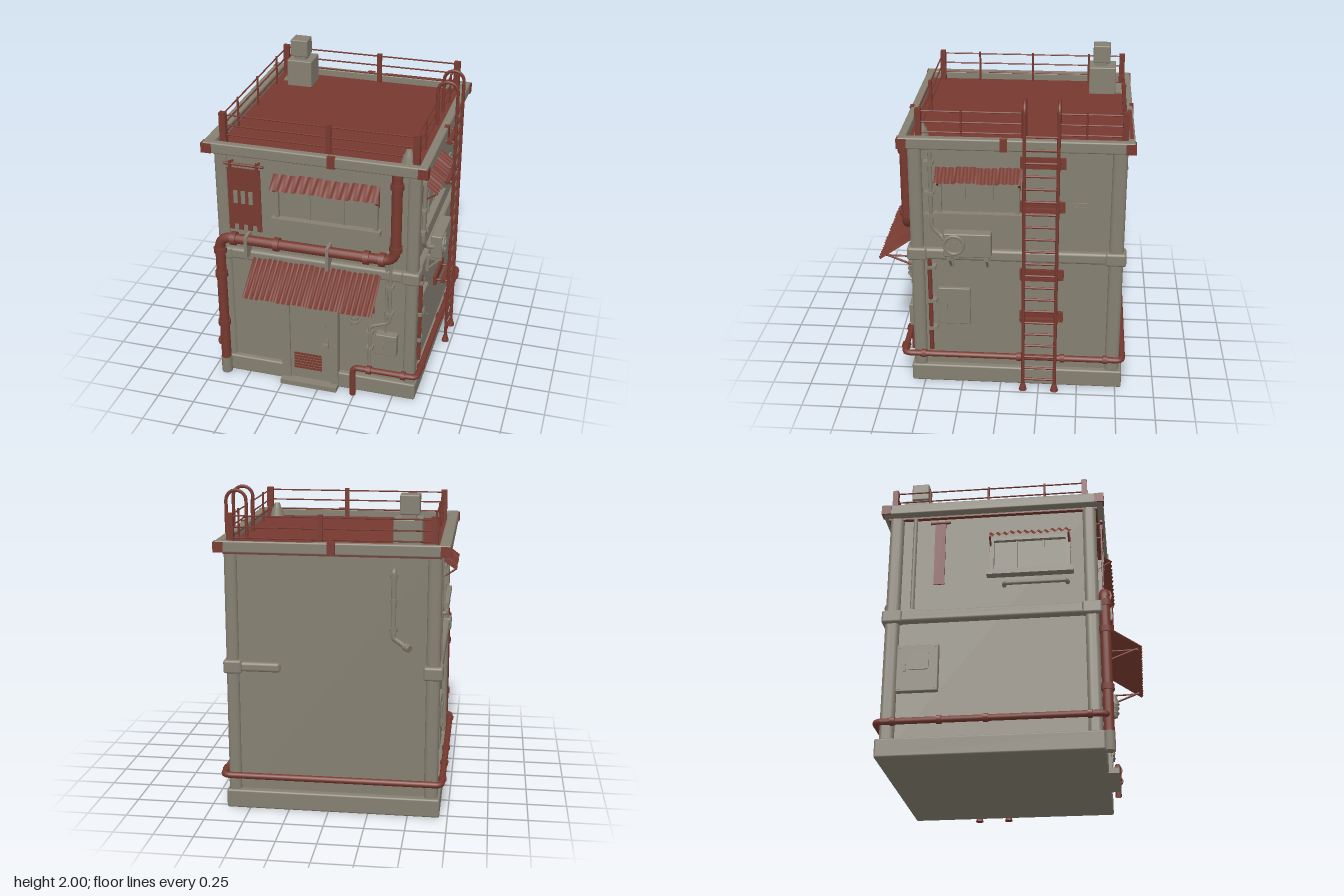
import * as THREE from 'three';
import { RoundedBoxGeometry } from 'three/addons/geometries/RoundedBoxGeometry.js';

const mat = (name, color, side = THREE.FrontSide) => {
  const m = new THREE.MeshStandardMaterial({ color, side });
  m.name = name;
  return m;
};

export function createModel() {
  const grey = mat('weathered concrete', 0x857f71);
  const red = mat('rust red paint', 0x77392f, THREE.DoubleSide);
  const root = new THREE.Group();
  root.name = 'building';
  let target = root;

  const V = (p) => new THREE.Vector3(...p);
  const add = (name, geo, m) => {
    const mesh = new THREE.Mesh(geo, m);
    mesh.name = name;
    target.add(mesh);
    return mesh;
  };
  // Box given by its extents; r rounds the edges
  const box = (name, m, x0, x1, y0, y1, z0, z1, r = 0) => {
    const s = [x1 - x0, y1 - y0, z1 - z0];
    const geo = r ? new RoundedBoxGeometry(...s, 2, r) : new THREE.BoxGeometry(...s);
    const mesh = add(name, geo, m);
    mesh.position.set((x0 + x1) / 2, (y0 + y1) / 2, (z0 + z1) / 2);
    return mesh;
  };
  // Cylinder or cone between two points
  const rod = (name, m, a, b, r, r2 = r, sides = 10) => {
    const d = V(b).sub(V(a));
    const mesh = add(name, new THREE.CylinderGeometry(r2, r, d.length(), sides), m);
    mesh.position.copy(V(a)).addScaledVector(d, 0.5);
    mesh.quaternion.setFromUnitVectors(new THREE.Vector3(0, 1, 0), d.normalize());
    return mesh;
  };
  // Pipe through corner points with rounded bends
  const pipe = (name, m, pts, r, bend, sides = 10) => {
    const path = new THREE.CurvePath();
    const p = pts.map(V);
    let from = p[0];
    for (let i = 1; i < p.length - 1; i++) {
      const a = p[i].clone().add(p[i - 1].clone().sub(p[i]).setLength(bend));
      const b = p[i].clone().add(p[i + 1].clone().sub(p[i]).setLength(bend));
      path.add(new THREE.LineCurve3(from, a));
      path.add(new THREE.QuadraticBezierCurve3(a, p[i], b));
      from = b;
    }
    path.add(new THREE.LineCurve3(from, p[p.length - 1]));
    return add(name, new THREE.TubeGeometry(path, 40 * (p.length - 1), r, sides), m);
  };
  // Corrugated sheet sloping from the wall outwards
  const sheet = (name, u0, u1, yTop, dTop, yLow, dLow, ribs) => {
    const geo = new THREE.PlaneGeometry(u1 - u0, 1, ribs * 4, 1);
    const pos = geo.attributes.position;
    for (let i = 0; i < pos.count; i++) {
      const t = 0.5 - pos.getY(i);
      const wave = 0.006 * Math.sin((i % (ribs * 4 + 1)) * Math.PI / 2);
      const step = Math.floor((i % (ribs * 4 + 1)) / 12) % 2 ? 0.006 : 0;
      pos.setXYZ(i, pos.getX(i) + (u0 + u1) / 2,
        yTop + (yLow - yTop) * t + wave + step, dTop + (dLow - dTop) * t + wave);
    }
    geo.computeVertexNormals();
    return add(name, geo, red);
  };
  // Group whose local z points out of a wall
  const wallGroup = (name, x, z, turn) => {
    const g = new THREE.Group();
    g.name = name;
    g.position.set(x, 0, z);
    g.rotation.y = turn;
    root.add(g);
    target = g;
  };
  const windowUnit = (u0, u1, y0, y1) => {
    box('windowPane', grey, u0, u1, y0, y1, 0, 0.008);
    box('windowJamb', grey, u0, u0 + 0.025, y0, y1, 0, 0.035);
    box('windowJamb', grey, u1 - 0.025, u1, y0, y1, 0, 0.035);
    box('windowHead', grey, u0, u1, y1 - 0.025, y1, 0, 0.035);
    box('windowSill', grey, u0 - 0.02, u1 + 0.02, y0 - 0.02, y0 + 0.015, 0, 0.055);
    for (const f of [1, 2]) {
      const u = u0 + (u1 - u0) * f / 3;
      box('windowBar', grey, u - 0.006, u + 0.006, y0, y1, 0, 0.018);
    }
    sheet('windowAwning', u0 - 0.01, u1 + 0.01, y1 + 0.05, 0.005, y1 - 0.02, 0.1, 12);
    for (const u of [u0 + 0.005, u1 - 0.005]) {
      rod('awningArm', red, [u, y1 - 0.02, 0.09], [u, y1 - 0.08, 0], 0.006);
      box('awningPlate', red, u - 0.01, u + 0.01, y1 - 0.09, y1 + 0.03, 0, 0.012);
    }
  };
  const panel = (name, u0, u1, y0, y1, depth) => {
    box(name, grey, u0, u1, y0, y1, 0, depth, 0.006);
    box(name + 'Handle', grey, u0 + 0.045, u0 + 0.06, (y0 + y1) / 2 - 0.025, (y0 + y1) / 2 + 0.025, depth, depth + 0.01);
    for (const u of [u0 + 0.018, u1 - 0.018]) for (const y of [y0 + 0.018, y1 - 0.018])
      rod('panelBolt', grey, [u, y, depth], [u, y, depth + 0.005], 0.006, 0.006, 6);
  };

  // Main body, plinth and corner pillars
  box('walls', grey, -0.65, 0.61, 0.02, 1.66, -0.745, 0.55);
  box('plinth', grey, -0.7, 0.65, 0, 0.12, -0.79, 0.585, 0.012);
  for (const [x0, x1] of [[-0.685, -0.6], [0.56, 0.64]])
    for (const [z0, z1] of [[-0.77, -0.68], [0.485, 0.57]]) {
      box('cornerPillar', grey, x0, x1, 0.1, 1.67, z0, z1, 0.025);
      box('bandCorner', grey, x0 - 0.02, x1 + 0.015, 0.887, 0.973, z0 - 0.018, z1 + 0.022, 0.015);
    }
  box('frontBand', grey, -0.69, 0.645, 0.892, 0.968, 0.5, 0.585, 0.018);
  box('rightBand', grey, 0.58, 0.645, 0.892, 0.968, -0.78, 0.58, 0.018);
  box('leftBand', grey, -0.695, -0.6, 0.892, 0.968, -0.78, 0.58, 0.018);
  box('backBandStub', grey, 0.3, 0.64, 0.9, 0.96, -0.775, -0.7, 0.018);

  // Roof with raised rim
  box('roofDeck', red, -0.68, 0.64, 1.64, 1.675, -0.78, 0.58);
  box('frontRim', grey, -0.735, 0.685, 1.652, 1.725, 0.57, 0.62, 0.01);
  box('backRim', grey, -0.735, 0.685, 1.652, 1.725, -0.81, -0.765, 0.01);
  box('leftRim', grey, -0.735, -0.665, 1.652, 1.725, -0.81, 0.62, 0.01);
  box('rightRim', grey, 0.63, 0.685, 1.652, 1.725, -0.81, 0.62, 0.01);
  box('rimRustPatch', red, 0.08, 0.6, 1.722, 1.728, -0.8, -0.775);
  for (const [x0, x1] of [[-0.742, -0.675], [0.63, 0.692]])
    for (const [z0, z1] of [[-0.816, -0.755], [0.565, 0.626]])
      box('rimCorner', red, x0, x1, 1.655, 1.718, z0, z1);
  box('rimClamp', red, 0.07, 0.12, 1.65, 1.728, 0.6, 0.626);
  box('rimClamp', red, -0.05, 0, 1.65, 1.728, -0.816, -0.79);
  box('rimClamp', red, 0.66, 0.69, 1.65, 1.728, -0.045, 0);

  // Railing
  const [rx0, rx1, rz0, rz1] = [-0.635, 0.595, -0.75, 0.5];
  for (const x of [rx0, rx1]) for (const z of [rz0, rz1])
    box('railCornerPost', red, x - 0.021, x + 0.021, 1.67, 1.885, z - 0.018, z + 0.018);
  for (const z of [rz0, rz1]) box('railPost', red, 0.03, 0.062, 1.67, 1.885, z - 0.01, z + 0.01);
  for (const z of [-0.52, -0.13, 0.24])
    for (const x of [rx0, rx1]) rod('railPost', red, [x, 1.67, z], [x, 1.88, z], 0.007);
  for (const y of [1.735, 1.8, 1.868]) {
    for (const z of [rz0, rz1]) rod('rail', red, [rx0, y, z], [rx1, y, z], 0.005, 0.005, 6);
    rod('rail', red, [rx0, y, rz0], [rx0, y, rz1], 0.005, 0.005, 6);
    rod('rail', red, [rx1, y, rz0], [rx1, y, -0.36], 0.005, 0.005, 6);
    rod('rail', red, [rx1, y, -0.15], [rx1, y, rz1], 0.005, 0.005, 6);
  }

  // Chimney and roof vent
  box('chimneyPad', grey, -0.61, -0.4, 1.67, 1.685, -0.77, -0.6);
  box('chimneyBase', grey, -0.56, -0.385, 1.67, 1.86, -0.705, -0.525, 0.008);
  box('chimneyNeck', grey, -0.52, -0.43, 1.85, 1.89, -0.65, -0.56);
  box('chimneyTop', grey, -0.54, -0.42, 1.88, 2, -0.665, -0.55, 0.008);
  rod('ventCone', grey, [0.545, 1.67, 0.49], [0.545, 1.74, 0.49], 0.052, 0.035, 16);
  rod('ventCap', grey, [0.545, 1.74, 0.49], [0.545, 1.775, 0.49], 0.03, 0.018, 16);

  // Ladder with hooped handrails
  for (const z of [-0.15, -0.355]) {
    rod('ladderStile', red, [0.712, 0, z], [0.712, 1.905, z], 0.011);
    const hoop = add('ladderHoop', new THREE.TorusGeometry(0.065, 0.011, 8, 16, Math.PI), red);
    hoop.position.set(0.647, 1.905, z);
    rod('ladderHandrail', red, [0.582, 1.67, z], [0.582, 1.905, z], 0.011);
    rod('ladderFoot', red, [0.712, 0, z], [0.712, 0.05, z], 0.027, 0.013);
    for (const y of [0.5, 0.8, 1.27, 1.56]) rod('ladderTie', red, [0.61, y, z], [0.712, y, z], 0.009);
  }
  for (let i = 0; i < 21; i++) {
    const y = 0.08 + i * 0.084;
    rod('ladderRung', red, [0.712, y, -0.355], [0.712, y, -0.15], 0.008, 0.008, 8);
  }
  for (const y of [0.5, 0.8, 1.27, 1.56]) {
    box('ladderBracket', red, 0.61, 0.63, y - 0.035, y + 0.035, -0.4, -0.12);
    box('ladderCrossbar', red, 0.66, 0.69, y - 0.012, y + 0.012, -0.37, -0.13);
  }

  // Large front pipe with collars
  pipe('mainPipe', red, [[-0.66, 0.1, 0.605], [-0.66, 1.06, 0.605], [0.505, 1.06, 0.605], [0.505, 1.66, 0.605]], 0.033, 0.085, 14);
  for (const y of [0.4, 0.78, 0.96]) rod('pipeCollar', red, [-0.66, y - 0.02, 0.605], [-0.66, y + 0.02, 0.605], 0.042);
  for (const x of [-0.56, -0.27, 0.32, 0.42]) rod('pipeCollar', red, [x - 0.018, 1.06, 0.605], [x + 0.018, 1.06, 0.605], 0.046);
  for (const y of [1.15, 1.58]) rod('pipeCollar', red, [0.505, y - 0.018, 0.605], [0.505, y + 0.018, 0.605], 0.042);
  rod('pipeBase', grey, [-0.66, 0, 0.605], [-0.66, 0.12, 0.605], 0.036);
  for (const x of [-0.47, 0.07]) box('pipeStrap', grey, x - 0.01, x + 0.01, 0.94, 1.1, 0.55, 0.645);

  // Thin pipe around the foot of the building
  pipe('footPipe', red, [[0.24, 0, 0.63], [0.24, 0.22, 0.63], [0.67, 0.22, 0.63], [0.67, 0.22, -0.79],
    [-0.71, 0.22, -0.79], [-0.71, 0.22, 0.6], [-0.66, 0.22, 0.6]], 0.02, 0.04, 10);
  for (const x of [0.35, 0.58]) rod('footPipeCollar', red, [x - 0.015, 0.22, 0.63], [x + 0.015, 0.22, 0.63], 0.03);
  for (const z of [0.5, -0.12, -0.4, -0.68]) for (const x of [0.67, -0.71])
    rod('footPipeCollar', red, [x, 0.22, z - 0.015], [x, 0.22, z + 0.015], 0.027);

  // Front wall: window, door, lower awning, banner, lamp, fuse box
  wallGroup('frontDetails', 0, 0.55, 0);
  windowUnit(-0.285, 0.38, 1.23, 1.485);
  box('doorStep', grey, -0.26, 0.13, 0, 0.035, 0, 0.1);
  box('doorFrame', grey, -0.26, -0.2, 0.03, 0.715, 0, 0.055);
  box('doorFrame', grey, 0.075, 0.13, 0.03, 0.715, 0, 0.055);
  box('doorFrame', grey, -0.2, 0.075, 0.675, 0.715, 0, 0.055);
  box('door', grey, -0.2, 0.075, 0.03, 0.675, 0, 0.04);
  box('doorPlate', grey, -0.165, 0.045, 0.465, 0.615, 0.04, 0.048);
  box('doorHandle', grey, 0.03, 0.065, 0.33, 0.345, 0.04, 0.065);
  box('doorLock', grey, 0.045, 0.065, 0.3, 0.38, 0.04, 0.05);
  for (let i = 0; i < 6; i++) box('doorVentSlat', red, -0.175, 0.015, 0.115 + i * 0.022, 0.128 + i * 0.022, 0.04, 0.048);
  for (let i = 0; i < 9; i++) for (const x of [-0.23, 0.103])
    rod('frameRivet', grey, [x, 0.08 + i * 0.072, 0.055], [x, 0.08 + i * 0.072, 0.06], 0.006, 0.006, 6);
  sheet('doorAwning', -0.44, 0.41, 0.925, 0.035, 0.76, 0.27, 24);
  for (const x of [-0.385, 0.345]) {
    box('awningMount', x < 0 ? grey : red, x - 0.018, x + 0.018, 0.62, 0.77, 0, 0.012);
    rod('awningStrut', red, [x, 0.68, 0.01], [x, 0.775, 0.25], 0.007);
    rod('awningStrut', red, [x, 0.76, 0.01], [x, 0.765, 0.25], 0.006);
  }
  const cloth = new THREE.Shape();
  cloth.moveTo(-0.585, 1.565);
  for (let i = 0; i < 7; i++) {
    const y = i % 2 ? 1.17 : 1.13;
    cloth.lineTo(-0.585 + i * 0.031, y);
    cloth.lineTo(-0.585 + (i + 1) * 0.031, y);
  }
  cloth.lineTo(-0.368, 1.565);
  add('banner', new THREE.ExtrudeGeometry(cloth, { depth: 0.008, bevelEnabled: false }), red).position.z = 0.045;
  for (const x of [-0.535, -0.485, -0.435]) box('bannerPatch', grey, x - 0.014, x + 0.014, 1.32, 1.41, 0.053, 0.056);
  rod('bannerRod', red, [-0.605, 1.59, 0.05], [-0.345, 1.59, 0.05], 0.009);
  for (const x of [-0.565, -0.39]) {
    box('bannerLoop', red, x - 0.008, x + 0.008, 1.55, 1.61, 0.042, 0.058);
    rod('bannerArm', red, [x, 1.59, 0], [x, 1.59, 0.05], 0.008);
  }
  rod('lampArm', grey, [0.22, 0.69, 0], [0.23, 0.69, 0.07], 0.014);
  rod('lampHood', grey, [0.245, 0.65, 0.07], [0.235, 0.72, 0.07], 0.042, 0.018, 14);
  rod('lampGlass', grey, [0.25, 0.56, 0.07], [0.247, 0.65, 0.07], 0.024, 0.033, 14);
  for (const y of [0.585, 0.62]) rod('lampRing', grey, [0.249, y, 0.07], [0.249, y + 0.01, 0.07], 0.038);
  panel('fuseBox', 0.385, 0.525, 0.34, 0.495, 0.06);
  pipe('conduit', grey, [[0.47, 1.22, 0.03], [0.47, 0.58, 0.03], [0.34, 0.53, 0.03], [0.34, 0.24, 0.03]], 0.012, 0.03, 8);
  pipe('conduit', grey, [[0.445, 1.02, 0.025], [0.445, 0.5, 0.025]], 0.009, 0.03, 8);
  for (const [x, y] of [[0.47, 1.1], [0.47, 0.85], [0.47, 0.65], [0.34, 0.36], [0.34, 0.48]])
    box('conduitClip', grey, x - 0.022, x + 0.022, y - 0.01, y + 0.01, 0, 0.046);

  // Right wall: window, cooling unit, panel, conduits
  wallGroup('rightDetails', 0.61, 0, Math.PI / 2);
  windowUnit(-0.39, 0.12, 1.21, 1.465);
  box('coolerBody', grey, -0.345, -0.05, 0.965, 1.125, 0.06, 0.135, 0.008);
  const fan = add('coolerFanRing', new THREE.TorusGeometry(0.06, 0.01, 8, 20), grey);
  fan.position.set(-0.28, 1.05, 0.137);
  rod('coolerFanHub', grey, [-0.28, 1.05, 0.13], [-0.28, 1.05, 0.15], 0.025);
  for (const r of [0, 1, 2]) box('coolerGrille', grey, -0.335, -0.225, 1.046, 1.054, 0.134, 0.142).rotation.z = r * Math.PI / 3;
  for (const u of [-0.31, -0.08]) {
    box('coolerBracket', grey, u - 0.015, u + 0.015, 0.94, 0.965, 0, 0.13);
    box('coolerBracket', grey, u - 0.015, u + 0.015, 0.85, 0.95, 0.03, 0.05);
    rod('coolerBrace', grey, [u, 0.86, 0.04], [u, 0.95, 0.125], 0.008);
  }
  panel('servicePanel', -0.4, -0.195, 0.43, 0.69, 0.03);
  box('socketPlate', grey, 0.44, 0.54, 1.225, 1.3, 0, 0.012);
  for (const u of [0.47, 0.51]) box('socketSwitch', grey, u - 0.01, u + 0.01, 1.25, 1.28, 0.012, 0.022);
  pipe('wallConduit', grey, [[-0.43, 1.62, 0.03], [-0.43, 1.12, 0.03], [-0.37, 1.06, 0.03], [-0.34, 1.05, 0.08]], 0.013, 0.025, 8);
  pipe('lowerConduit', red, [[-0.45, 0.24, 0.03], [-0.45, 0.89, 0.03]], 0.014, 0.03, 8);
  for (const y of [1.55, 1.35, 1.2, 0.84, 0.6, 0.4]) box('conduitClip', grey, -0.47, -0.41, y - 0.012, y + 0.012, 0, 0.046);

  // Left wall: window, panel, hanging strip, short pipe
  wallGroup('leftDetails', -0.65, 0, -Math.PI / 2);
  windowUnit(-0.11, 0.4, 1.21, 1.465);
  panel('meterCabinet', -0.68, -0.42, 0.42, 0.73, 0.04);
  box('meterPlate', grey, -0.6, -0.48, 0.56, 0.67, 0.04, 0.048);
  box('hangingStrip', red, -0.47, -0.4, 1.15, 1.6, 0.02, 0.028);
  rod('stripRod', red, [-0.5, 1.6, 0.025], [-0.37, 1.6, 0.025], 0.009);
  pipe('wallPipe', grey, [[-0.02, 1.13, 0], [-0.02, 1.13, 0.035], [0.38, 1.13, 0.035], [0.38, 1.13, 0]], 0.014, 0.02, 8);
  pipe('downConduit', grey, [[-0.6, 1.64, 0.025], [-0.6, 0.98, 0.025]], 0.014, 0.02, 8);

  // Back wall: hooked drain pipe
  wallGroup('backDetails', 0, -0.745, Math.PI);
  pipe('drainPipe', grey, [[0.4, 1.56, 0], [0.4, 1.56, 0.035], [0.4, 1.15, 0.035], [0.47, 1.1, 0.035], [0.49, 1.1, 0.07]], 0.016, 0.015, 10);
  rod('drainMouth', grey, [0.47, 1.1, 0.035], [0.5, 1.09, 0.06], 0.024);
  for (const y of [1.53, 1.38, 1.2]) rod('drainCollar', grey, [0.4, y - 0.012, 0.035], [0.4, y + 0.012, 0.035], 0.024);

  return root;
}
